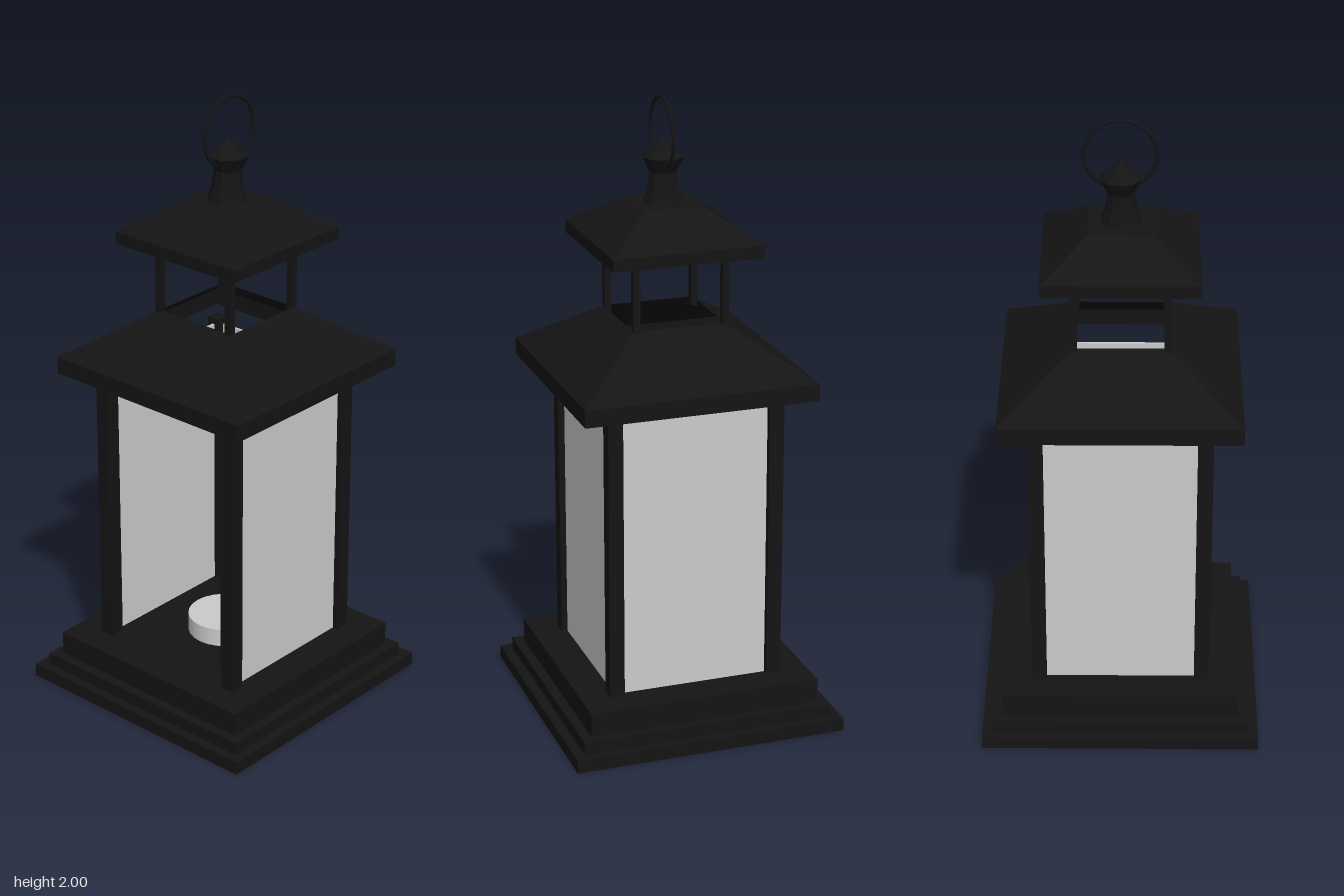
import * as THREE from 'three';

const metal = new THREE.MeshStandardMaterial({ color: 0x141414, side: THREE.DoubleSide, flatShading: true });
const metalSmooth = new THREE.MeshStandardMaterial({ color: 0x141414 });
const grey = new THREE.MeshStandardMaterial({ color: 0xcccccc });

export function createModel() {
  const model = new THREE.Group();

  const add = (name, geometry, material, x, y, z, parent = model) => {
    const mesh = new THREE.Mesh(geometry, material);
    mesh.name = name;
    mesh.position.set(x, y, z);
    parent.add(mesh);
    return mesh;
  };

  // Box standing on the given height
  const box = (name, w, h, d, material, x, y, z, parent) =>
    add(name, new THREE.BoxGeometry(w, h, d), material, x, y + h / 2, z, parent);

  // Square shell turned from [half width, height] points, left open below
  const squareShell = (name, points, z) => {
    const profile = points.map(([half, y]) => new THREE.Vector2(half * Math.SQRT2, y));
    const geometry = new THREE.LatheGeometry(profile, 4, Math.PI / 4);
    return add(name, geometry, metal, 0, 0, z);
  };

  // Four upright posts at the corners of a square
  const corners = (name, outer, width, y, h, z) => {
    const group = new THREE.Group();
    group.name = name;
    const c = outer - width / 2;
    for (const sx of [-1, 1]) {
      for (const sz of [-1, 1]) box('post', width, h, width, metal, sx * c, y, z + sz * c, group);
    }
    model.add(group);
  };

  // Stepped base
  box('baseBottomStep', 0.886, 0.042, 0.886, metal, 0, 0, 0);
  box('baseMiddleStep', 0.82, 0.04, 0.82, metal, 0, 0.042, 0);
  box('baseTopStep', 0.755, 0.08, 0.755, metal, 0, 0.08, 0);

  // Body posts, with panes on three sides and an open side at -x
  corners('bodyPosts', 0.286, 0.048, 0.16, 0.96, 0);
  box('frontPane', 0.48, 0.94, 0.008, grey, 0, 0.16, 0.262);
  box('backPane', 0.48, 0.94, 0.008, grey, 0, 0.16, -0.262);
  box('leftPane', 0.008, 0.94, 0.48, grey, 0.262, 0.16, 0);

  // Short candle on the floor
  add('candle', new THREE.CylinderGeometry(0.12, 0.12, 0.06, 24), grey, 0, 0.19, 0);

  // Hollow main roof with a square opening at the top
  squareShell('mainRoof', [[0.375, 1.1], [0.375, 1.155], [0.148, 1.307]], 0.01);

  // Small open tower and its cap
  corners('towerPosts', 0.155, 0.022, 1.28, 0.27, 0.005);
  squareShell('towerRoof', [[0, 1.535], [0.242, 1.53], [0.242, 1.57], [0.1, 1.667], [0, 1.667]], 0.01);

  // Faceted finial
  const finial = [[0.064, 1.665], [0.05, 1.71], [0.042, 1.765], [0.066, 1.812], [0, 1.868]]
    .map(([r, y]) => new THREE.Vector2(r, y));
  add('finial', new THREE.LatheGeometry(finial, 10), metal, 0, 0, 0.012);

  // Hanging ring through the finial
  add('hangingRing', new THREE.TorusGeometry(0.11, 0.006, 8, 48), metalSmooth, 0.002, 1.884, 0.016);

  return model;
}
